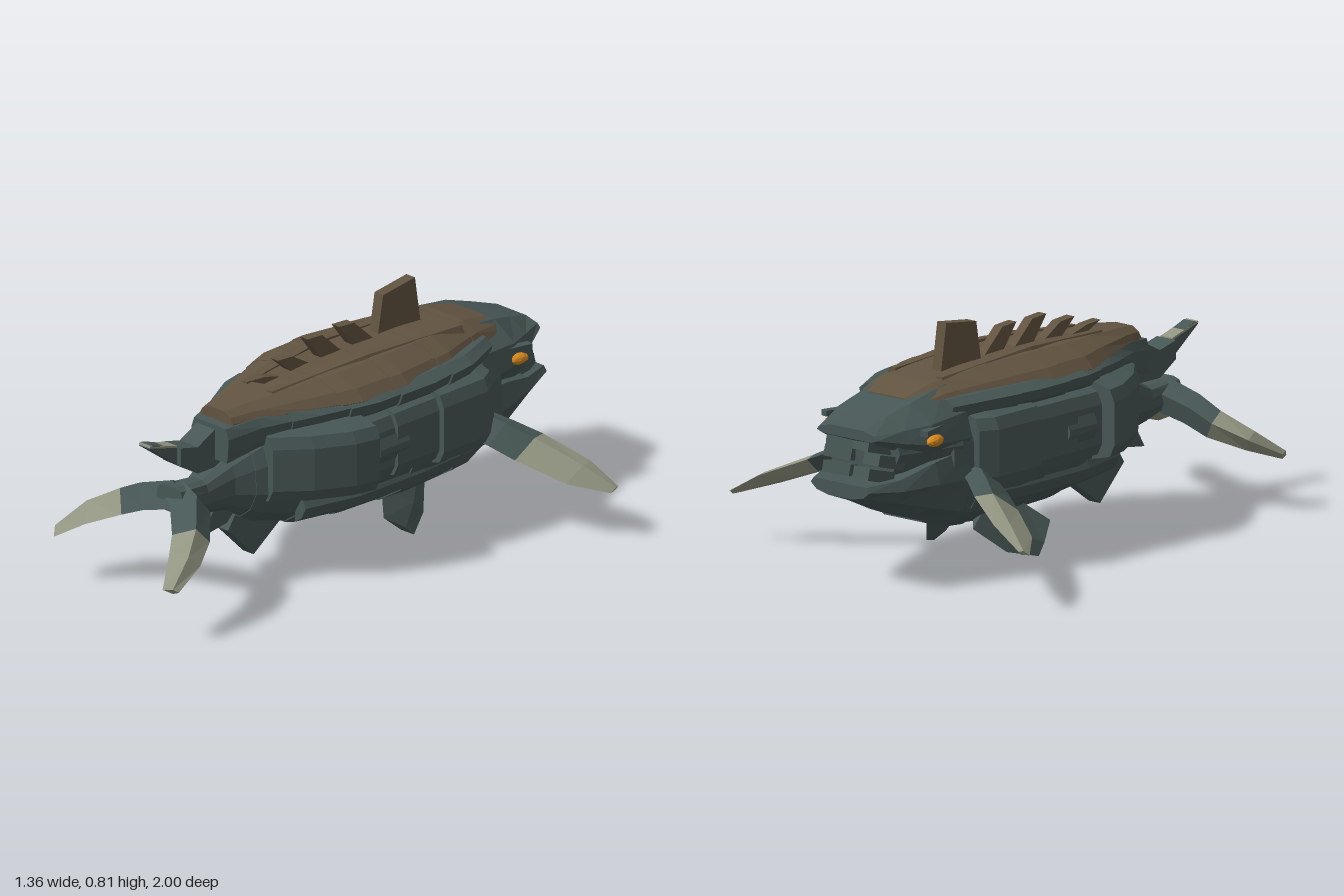
import * as THREE from 'three';

const mat = (name, color) => {
  const m = new THREE.MeshStandardMaterial({ color, flatShading: true });
  m.name = name;
  return m;
};

// Closed solid through rings of equal point count; faces are turned outward by signed volume
function loft(rings) {
  const tris = [];
  const n = rings[0].length;
  for (let i = 0; i < rings.length - 1; i++) {
    for (let j = 0; j < n; j++) {
      const k = (j + 1) % n;
      const [a, b, c, d] = [rings[i][j], rings[i][k], rings[i + 1][k], rings[i + 1][j]];
      tris.push([a, b, c], [a, c, d]);
    }
  }
  const first = rings[0], last = rings[rings.length - 1];
  for (let j = 1; j < n - 1; j++) {
    tris.push([first[0], first[j + 1], first[j]], [last[0], last[j], last[j + 1]]);
  }
  let volume = 0;
  for (const [a, b, c] of tris) {
    volume += a[0] * (b[1] * c[2] - b[2] * c[1]) + a[1] * (b[2] * c[0] - b[0] * c[2]) + a[2] * (b[0] * c[1] - b[1] * c[0]);
  }
  const pos = tris.flatMap(([a, b, c]) => (volume < 0 ? [a, c, b] : [a, b, c]).flat());
  const g = new THREE.BufferGeometry();
  g.setAttribute('position', new THREE.Float32BufferAttribute(pos, 3));
  g.computeVertexNormals();
  return g;
}

// Cross-section outlines, right half from bottom to top, in -1..1
const mirrored = (half) => [...half, ...half.map(([x, y]) => [-x, y]).reverse()];
const BODY = mirrored([[0.35, -1], [0.75, -0.72], [1, -0.25], [0.98, 0.4], [0.82, 0.82], [0.4, 1]]);
const SHELL = mirrored([[0.9, -1], [1, -0.55], [0.85, 0.3], [0.5, 1]]);
const RIM = mirrored([[0.9, -1], [0.95, -0.6], [1, 0.4], [0.85, 1]]);
const SNOUT = mirrored([[0.8, -1], [1, -0.45], [0.9, 0.3], [0.5, 1]]);
const JAW = mirrored([[0.4, -1], [0.8, -0.55], [1, 0.3], [0.9, 1]]);

// Section row: [z, half width, bottom, top, centre x]
const ring = (outline, [z, w, b, t, cx = 0], s = 1) =>
  outline.map(([x, y]) => [cx + x * w * s, (b + t) / 2 + (y * (t - b) * s) / 2, z]);

function sectionAt(rows, z) {
  let i = 0;
  while (i < rows.length - 2 && z > rows[i + 1][0]) i++;
  const [p, q] = [rows[i], rows[i + 1]];
  const f = (z - p[0]) / (q[0] - p[0]);
  return [0, 1, 2, 3, 4].map((k) => (p[k] ?? 0) * (1 - f) + (q[k] ?? 0) * f);
}

export function createModel() {
  const slate = mat('slate hide', 0x475755);
  const brown = mat('brown shell', 0x625441);
  const pale = mat('pale fin', 0x929581);
  const amber = mat('amber eye', 0xd98a1e);

  const model = new THREE.Group();
  const body = new THREE.Group();
  body.name = 'body';
  body.position.x = -0.09;
  body.rotation.y = -0.16;
  model.add(body);

  const add = (parent, name, geo, material) => {
    const m = new THREE.Mesh(geo, material);
    m.name = name;
    parent.add(m);
    return m;
  };

  // Overlapping armour segments along a row of sections
  const segments = (name, outline, rows, cuts, flare, material) => {
    for (let i = 0; i < cuts.length - 1; i++) {
      const [a, b] = [cuts[i], cuts[i + 1]];
      const inner = rows.map((r) => r[0]).filter((z) => z > a + 0.01 && z < b - 0.01);
      const zs = [a, ...inner, b];
      add(body, name, loft(zs.map((z) =>
        ring(outline, sectionAt(rows, z), 1 + (flare * (z - a)) / (b - a)))), material);
    }
  };

  // Hull, rim and shell
  const hull = [
    [-0.64, 0.235, 0.18, 0.6, -0.02], [-0.5, 0.25, 0.14, 0.6], [-0.3, 0.26, 0.13, 0.6], [0, 0.25, 0.145, 0.59],
    [0.2, 0.21, 0.165, 0.57], [0.38, 0.14, 0.215, 0.53], [0.48, 0.08, 0.275, 0.46], [0.58, 0.052, 0.29, 0.41], [0.71, 0.06, 0.33, 0.42],
  ];
  segments('hullSegment', BODY, hull, [-0.64, -0.42, -0.18, 0.04, 0.24, 0.42, 0.71], 0.02, slate);
  const rim = [
    [-0.62, 0.21, 0.54, 0.61, -0.02], [-0.45, 0.265, 0.545, 0.615], [-0.25, 0.288, 0.545, 0.615], [0, 0.275, 0.545, 0.615],
    [0.2, 0.21, 0.535, 0.61], [0.4, 0.125, 0.505, 0.605], [0.52, 0.085, 0.47, 0.59],
  ];
  segments('rimScute', RIM, rim, [-0.62, -0.34, -0.1, 0.1, 0.3, 0.52], 0.03, slate);
  const shell = [
    [-0.73, 0.15, 0.575, 0.62, -0.03], [-0.6, 0.18, 0.575, 0.65, -0.02], [-0.4, 0.235, 0.575, 0.665], [-0.15, 0.265, 0.58, 0.672],
    [0.05, 0.25, 0.585, 0.67], [0.2, 0.19, 0.59, 0.66], [0.4, 0.105, 0.59, 0.645], [0.49, 0.075, 0.59, 0.635],
  ];
  segments('shellPlate', SHELL, shell, [-0.73, -0.56, -0.33, -0.1, 0.12, 0.49], 0.03, brown);

  // Raised ridges bordering the spine channel
  for (const s of [-1, 1]) {
    add(body, 'shellRidge', loft([[-0.55, 0.09, 0.655], [-0.1, 0.085, 0.678], [0.3, 0.045, 0.655]].map(([z, x, y]) =>
      [[s * x, y - 0.03, z], [s * x, y + 0.005, z], [s * (x + 0.025), y + 0.005, z], [s * (x + 0.045), y - 0.03, z]])), brown);
  }

  // Flat blades in the body's middle plane, outlined in z and y
  const blade = (name, pts, width, material, x = 0) => {
    const g = new THREE.ExtrudeGeometry(new THREE.Shape(pts.map((p) => new THREE.Vector2(...p))), { depth: width, bevelEnabled: false });
    g.rotateY(-Math.PI / 2);
    g.translate(x + width / 2, 0, 0);
    return add(body, name, g, material);
  };
  blade('dorsalFin', [[-0.49, 0.63], [-0.28, 0.63], [-0.31, 0.8], [-0.46, 0.82]], 0.04, brown, -0.035);
  for (const [z, h] of [[-0.17, 0.755], [-0.02, 0.755], [0.12, 0.72], [0.25, 0.685]]) {
    blade('dorsalSpine', [[z - 0.1, 0.65], [z, 0.65], [z + 0.08, h], [z + 0.01, h - 0.005]], 0.036, brown, -0.02);
  }
  blade('upperTailFin', [[0.36, 0.5], [0.45, 0.44], [0.6, 0.44], [0.68, 0.49], [0.68, 0.555], [0.6, 0.535], [0.47, 0.6]], 0.085, slate, -0.02);
  blade('upperTailFinTip', [[0.68, 0.49], [0.81, 0.585], [0.795, 0.595], [0.68, 0.555]], 0.05, slate, -0.02);
  blade('upperTailFinStripe', [[0.68, 0.551], [0.81, 0.589], [0.808, 0.595], [0.68, 0.559]], 0.052, pale, -0.02);
  blade('analFin', [[0.17, 0.19], [0.17, 0.165], [0.32, 0.06], [0.44, 0.18], [0.4, 0.24]], 0.05, slate, -0.02);
  blade('smallAnalFin', [[0.42, 0.26], [0.46, 0.22], [0.57, 0.205], [0.52, 0.29]], 0.04, slate);

  // Side armour: bevelled plates following [half width, z] points on both flanks
  const flank = (name, pts, low, high, depth = 0.08) => {
    for (const s of [-1, 1]) {
      add(body, name, loft(pts.map(([x, z]) => [
        [s * (x - depth), low - 0.02, z], [s * (x - 0.02), low, z], [s * x, low + 0.04, z],
        [s * x, high - 0.04, z], [s * (x - 0.02), high, z], [s * (x - depth), high + 0.02, z],
      ])), slate);
    }
  };
  flank('gillPlate', [[0.275, -0.54], [0.31, -0.48], [0.31, -0.27]], 0.3, 0.54);
  flank('frontFlankPlate', [[0.295, -0.265], [0.295, -0.07]], 0.31, 0.53);
  flank('middleFlankPlate', [[0.285, -0.065], [0.285, 0.09]], 0.31, 0.525);
  flank('raisedFlankPanel', [[0.302, -0.12], [0.302, 0.02]], 0.37, 0.47, 0.03);
  flank('rearFlankPlate', [[0.34, 0.06], [0.32, 0.15], [0.25, 0.28], [0.16, 0.385]], 0.31, 0.54, 0.1);
  flank('lowerFlankPlate', [[0.225, -0.5], [0.245, -0.25], [0.24, 0.05], [0.19, 0.26]], 0.22, 0.3, 0.05);

  // Head: snout, jaw, mouth lumps and eyes
  add(body, 'snout', loft([
    [-0.56, 0.24, 0.42, 0.645, -0.02], [-0.74, 0.23, 0.44, 0.615, -0.035], [-0.84, 0.185, 0.47, 0.585, -0.04], [-0.945, 0.135, 0.515, 0.55, -0.045],
  ].map((r) => ring(SNOUT, r))), slate);
  add(body, 'jaw', loft([
    [-0.56, 0.245, 0.155, 0.44, -0.02], [-0.72, 0.225, 0.215, 0.42, -0.035], [-0.86, 0.18, 0.275, 0.38, -0.045], [-0.985, 0.13, 0.32, 0.37, -0.05],
  ].map((r) => ring(JAW, r))), slate);
  add(body, 'mouth', loft([[-0.6, 0.23, 0.35, 0.52, -0.03], [-0.86, 0.165, 0.36, 0.52, -0.04]].map((r) => ring(JAW, r))), slate);
  const lump = new THREE.BoxGeometry(0.1, 0.04, 0.1);
  for (const s of [-1, 1]) {
    for (const [x, y, z] of [[0.06, 0.485, -0.88], [0.09, 0.435, -0.86], [0.07, 0.39, -0.89]]) {
      const m = add(body, 'mouthPlate', lump, slate);
      m.position.set(-0.045 + s * x, y, z);
      m.rotation.set(0.25, s * 0.3, 0);
    }
    const eye = add(body, 'eye', new THREE.IcosahedronGeometry(1, 1), amber);
    eye.scale.set(0.024, 0.02, 0.044);
    eye.position.set(-0.035 + s * 0.22, 0.502, -0.74);
    eye.rotation.y = s * -0.25;
    const brow = add(body, 'brow', new THREE.BoxGeometry(0.03, 0.02, 0.12), slate);
    brow.position.set(-0.035 + s * 0.208, 0.535, -0.74);
    brow.rotation.y = s * -0.25;
  }

  // Fins: lens sections [x, y, z, half chord, half thickness], pale from station index split on
  const fin = (name, chord, rows, split) => {
    const c = new THREE.Vector3(...chord).normalize();
    const rings = rows.map(([x, y, z, w, t], i) => {
      const p = new THREE.Vector3(x, y, z);
      const a = new THREE.Vector3(...rows[Math.max(0, i - 1)].slice(0, 3));
      const b = new THREE.Vector3(...rows[Math.min(rows.length - 1, i + 1)].slice(0, 3));
      const up = b.sub(a).cross(c).normalize();
      return [[w, 0], [w * 0.3, t], [-w, 0], [w * 0.3, -t]].map(([u, v]) =>
        p.clone().addScaledVector(c, u).addScaledVector(up, v).toArray());
    });
    add(model, name, loft(rings.slice(0, split + 1)), slate);
    if (split < rows.length - 1) add(model, name + 'Tip', loft(rings.slice(split)), pale);
  };
  fin('leftPectoralFin', [0.1, 0.35, -0.9], [
    [0.2, 0.35, -0.47, 0.07, 0.04], [0.3, 0.33, -0.485, 0.07, 0.035], [0.39, 0.29, -0.52, 0.075, 0.03],
    [0.56, 0.225, -0.565, 0.065, 0.022], [0.675, 0.175, -0.61, 0.02, 0.008]], 2);
  fin('rightPectoralFin', [0.65, 0.35, -0.7], [
    [-0.25, 0.34, -0.54, 0.07, 0.04], [-0.33, 0.32, -0.61, 0.075, 0.035], [-0.4, 0.29, -0.67, 0.08, 0.03],
    [-0.55, 0.24, -0.8, 0.07, 0.022], [-0.67, 0.205, -0.92, 0.02, 0.008]], 2);
  fin('rightTailFluke', [-0.35, 0.25, -0.85], [
    [-0.19, 0.37, 0.66, 0.065, 0.06], [-0.33, 0.33, 0.655, 0.065, 0.055], [-0.42, 0.29, 0.65, 0.065, 0.05],
    [-0.54, 0.24, 0.69, 0.065, 0.035], [-0.615, 0.185, 0.775, 0.035, 0.015]], 2);
  fin('leftTailFluke', [0.75, -0.08, -0.3], [
    [-0.21, 0.37, 0.65, 0.06, 0.055], [-0.12, 0.36, 0.7, 0.07, 0.06], [-0.045, 0.305, 0.8, 0.065, 0.055],
    [-0.015, 0.25, 0.88, 0.055, 0.04], [0.005, 0.19, 0.985, 0.028, 0.012]], 2);
  for (const s of [-1, 1]) {
    fin('pelvicFin', [s * 0.22, -0.6, -0.8], [
      [-0.07 + s * 0.07, 0.18, -0.36, 0.1, 0.03], [-0.08 + s * 0.135, 0.1, -0.265, 0.11, 0.022],
      [-0.085 + s * 0.19, 0.052, -0.175, 0.08, 0.01]], 2);
  }
  return model;
}
